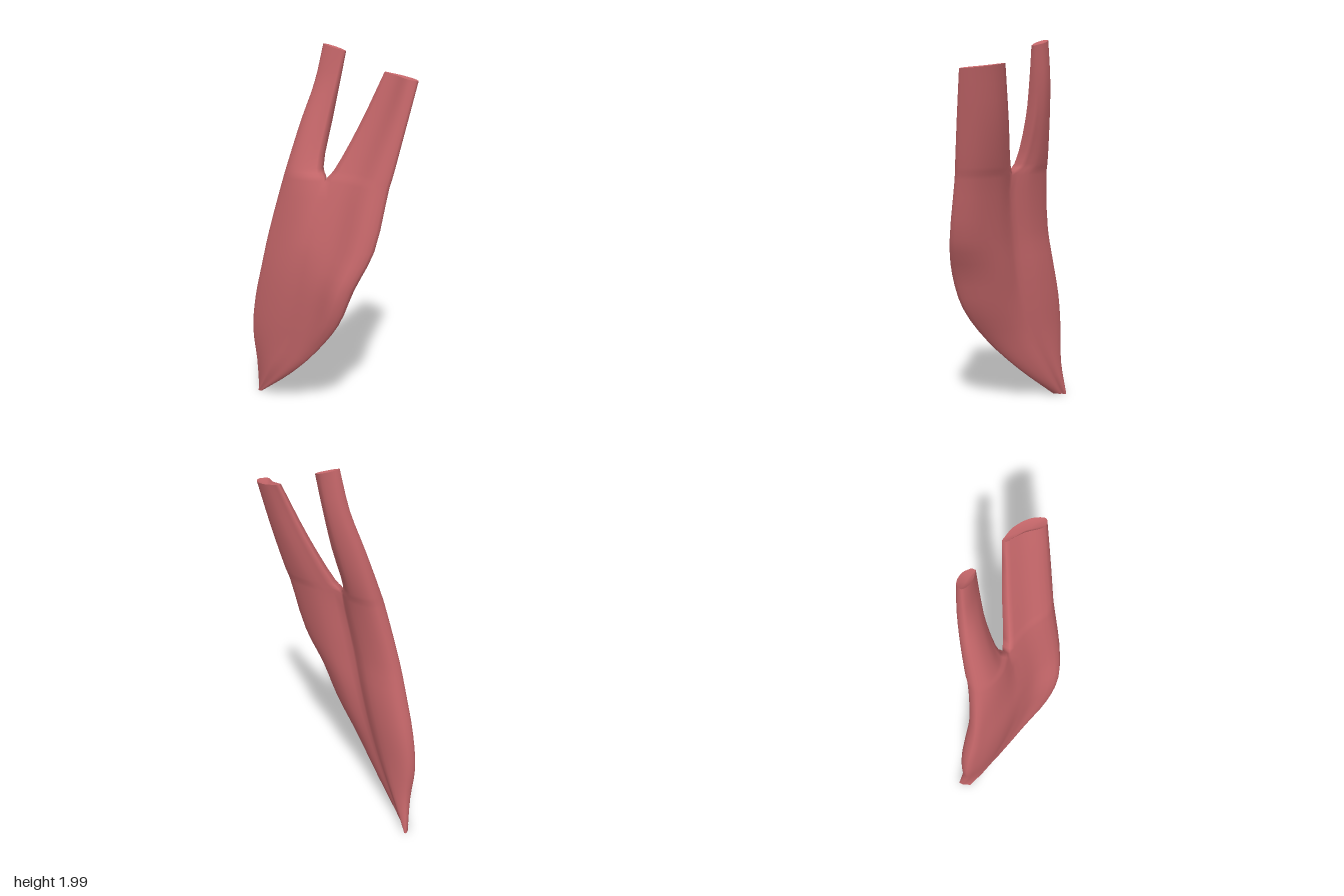
import * as THREE from 'three';
import { mergeVertices } from 'three/addons/utils/BufferGeometryUtils.js';

// Trunk rows: y, seam x, seam front z, seam back z,
// then for the inner and the outer head: edge x, edge z, front bulge, back bulge
const trunk = [
  [0, -.445, -.08, -.13, -.462, -.13, .003, .02, -.425, -.08, .003, .01],
  [.2, -.33, 0, -.085, -.452, -.09, .01, .035, -.2, .03, .01, .015],
  [.4, -.22, .045, -.04, -.465, -.075, .02, .05, -.015, .125, .013, .03],
  [.6, -.15, .075, -.025, -.44, -.065, .024, .06, .13, .18, .04, .06],
  [.8, -.1, .09, -.02, -.39, -.05, .022, .063, .21, .19, .053, .085],
  [1, -.06, .08, -.02, -.34, -.045, .018, .056, .3, .14, .053, .075],
  [1.31, -.005, 0, -.04, -.258, -.07, .042, .06, .352, .075, .043, .073],
];
// Prong rows: y, seam x, seam front z, seam back z, edge x, edge z, front bulge, back bulge
const innerProng = [
  [1.37, -.037, -.035, -.08, -.242, -.08, .04, .057],
  [1.6, -.017, -.11, -.16, -.18, -.13, .03, .042],
  [1.8, .017, -.15, -.185, -.115, -.165, .014, .04],
  [1.99, .045, -.175, -.195, -.075, -.185, .015, .028],
];
const outerProng = [
  [1.37, .04, -.02, -.055, .366, .063, .042, .074],
  [1.6, .155, -.08, -.11, .413, .022, .032, .066],
  [1.83, .265, -.135, -.155, .46, -.025, .035, .042],
];
const STEPS = 3, AROUND = 24;
const NOTCH_ROW = (trunk.length - 1) * STEPS;

// Seven points from the front seam, round the outer edge, to the back seam
function section([y, seamX, frontZ, backZ, edgeX, edgeZ, front, back], innerFill, ridge, tilt) {
  const point = (z, t, bulge) => new THREE.Vector3(
    THREE.MathUtils.lerp(seamX, edgeX, t),
    y + tilt * (1 - t),
    THREE.MathUtils.lerp(z, edgeZ, t) + bulge);
  return [
    point(frontZ, 0, 0), point(frontZ, .4, front * innerFill), point(frontZ, .78, front),
    point(frontZ, 1, 0),
    point(backZ, .87, -back), point(backZ, ridge, -back), point(backZ, 0, 0),
  ];
}

// Smooth the control points along the height
function controlRows(rows, innerFill, ridge, topTilt) {
  const last = rows.length - 1;
  const sections = rows.map((row, i) => section(row, innerFill, ridge, i === last ? topTilt : 0));
  const columns = sections[0].map((_, c) => new THREE.CatmullRomCurve3(sections.map((s) => s[c])));
  const n = last * STEPS;
  return Array.from({ length: n + 1 }, (_, j) => columns.map((curve) => curve.getPoint(j / n)));
}

const roundRow = (row) => new THREE.CatmullRomCurve3(row).getPoints(AROUND);

function addTriangle(list, a, b, c, flip) {
  if (flip) list.push(a, c, b);
  else list.push(a, b, c);
}

function smoothMesh(name, points, material) {
  const soup = new THREE.BufferGeometry().setFromPoints(points);
  const geometry = mergeVertices(soup, 1e-5);
  geometry.computeVertexNormals();
  const mesh = new THREE.Mesh(geometry, material);
  mesh.name = name;
  return mesh;
}

export function createModel() {
  const group = new THREE.Group();
  group.name = 'muscle';
  const muscleRed = new THREE.MeshStandardMaterial({ color: 0xc46669 });
  muscleRed.name = 'muscle red';

  const innerTrunk = trunk.map((row) => row.slice(0, 8));
  const outerTrunk = trunk.map((row) => [...row.slice(0, 4), ...row.slice(8)]);
  const inner = controlRows([...innerTrunk, ...innerProng], 1, .34, -.035);
  const outer = controlRows([...outerTrunk, ...outerProng], .15, .45, .03);

  // Below the notch both heads share one seam
  for (let j = 0; j <= NOTCH_ROW; j++) {
    outer[j][0].copy(inner[j][0]);
    outer[j][6].copy(inner[j][6]);
  }

  const skin = [], ends = [];
  [inner, outer].forEach((control, head) => {
    const flip = head === 1;
    const rows = control.map(roundRow);
    // Skin; above the notch each head closes into its own prong
    for (let j = 0; j < rows.length - 1; j++) {
      const low = rows[j], high = rows[j + 1];
      const count = j >= NOTCH_ROW ? AROUND + 1 : AROUND;
      for (let i = 0; i < count; i++) {
        const k = (i + 1) % (AROUND + 1);
        addTriangle(skin, low[i], high[i], low[k], flip);
        addTriangle(skin, low[k], high[i], high[k], flip);
      }
    }
    // Cut ends at the lower tip and the slightly hollow prong top
    [rows[0], rows[rows.length - 1]].forEach((ring, top) => {
      const centre = new THREE.Vector3();
      ring.forEach((p) => centre.addScaledVector(p, 1 / ring.length));
      centre.y -= top * .02;
      ring.forEach((p, i) => {
        addTriangle(ends, centre, p, ring[(i + 1) % ring.length], flip !== (top === 1));
      });
    });
  });

  group.add(smoothMesh('twoHeadedBelly', skin, muscleRed), smoothMesh('cutEnds', ends, muscleRed));
  return group;
}
